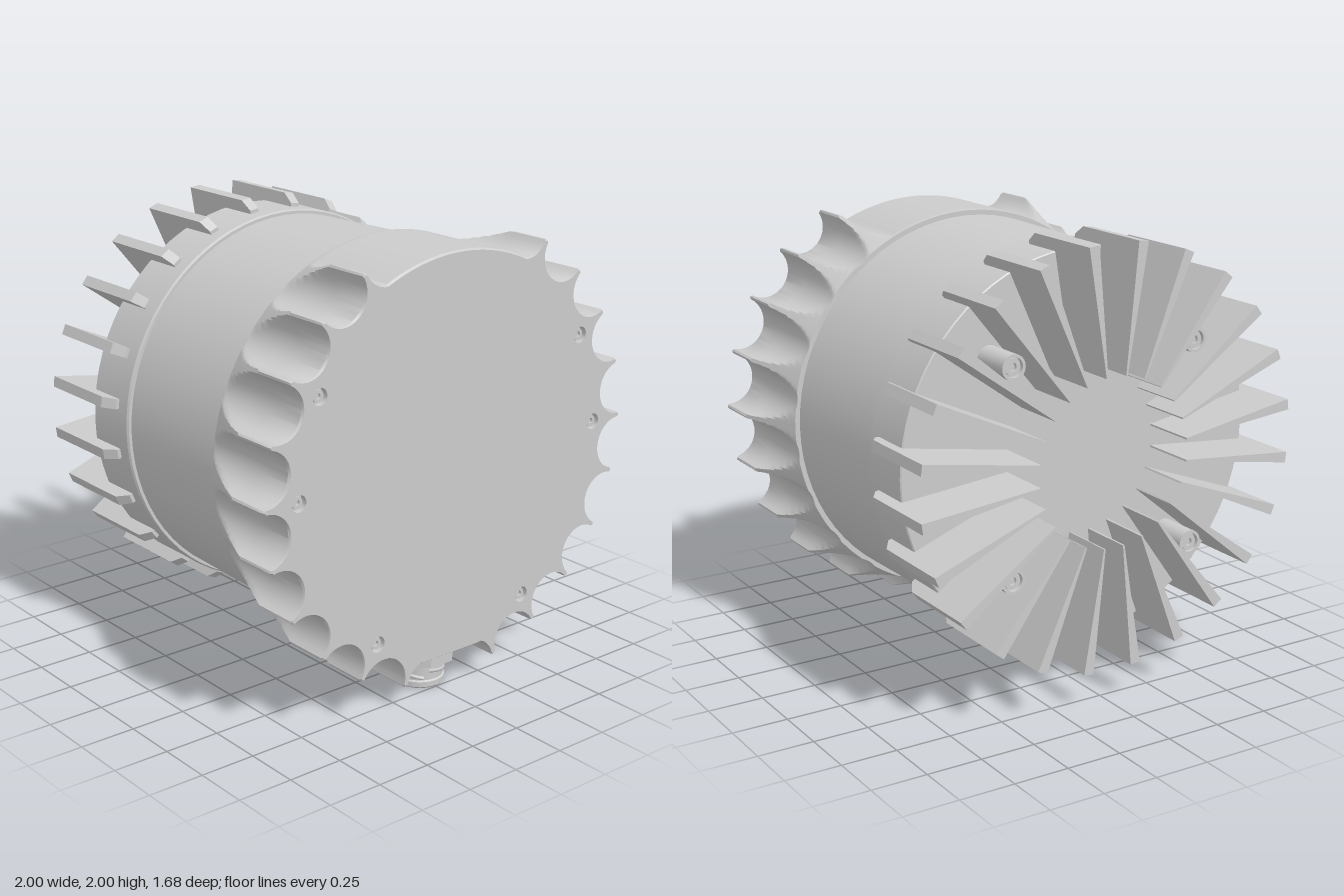
import * as THREE from 'three';
import { toCreasedNormals, mergeVertices } from 'three/addons/utils/BufferGeometryUtils.js';

const AXIS_Y = 1.075;
const RAD = Math.PI / 180;
const mat = new THREE.MeshStandardMaterial({ color: 0xcccccc });

function add(parent, name, geometry, x = 0, y = 0, z = 0) {
  const mesh = new THREE.Mesh(geometry, mat);
  mesh.name = name;
  mesh.position.set(x, y, z);
  parent.add(mesh);
  return mesh;
}

// Turned part with sharp edges; profile is [radius, height] pairs
function turned(profile, segments = 32) {
  const pts = profile.map(([r, h]) => new THREE.Vector2(r, h));
  return toCreasedNormals(new THREE.LatheGeometry(pts, segments), 0.5);
}

// Scalloped outline: [angle, radius] samples, ordered counter-clockwise
const VALLEY = 0.88, BITE = 0.122, TIP = 1.0;
function scallopOutline() {
  const c = VALLEY + BITE, half = Math.asin(BITE / c), out = [];
  const n = 8;
  for (let k = 0; k < 24; k++) {
    const mid = (k + 0.5) * 15;
    for (let i = -n; i <= n; i++) {
      const d = half * Math.sin((i / n) * Math.PI / 2);
      const root = Math.sqrt(Math.max(0, BITE * BITE - (c * Math.sin(d)) ** 2));
      let r = c * Math.cos(d) - root;
      const a = mid * RAD + d;
      const deg = a / RAD;
      // Smooth crown on top, flat connector seat underneath
      if (deg > 67.5 && deg < 112.5) r = 0.89;
      else if (deg > 60 && deg < 120) r = Math.max(r, 0.89);
      const fromBottom = Math.abs(deg - 270);
      if (fromBottom < 7.5) r = 0.885 / Math.cos(fromBottom * RAD);
      else if (fromBottom < 15) r = Math.max(r, Math.min(0.9, 0.885 / Math.cos(fromBottom * RAD)));
      out.push([a, r]);
    }
    // Narrow land at the tip between two bites
    const tipDeg = (k + 1) * 15;
    const plain = (tipDeg > 60 && tipDeg < 120) || tipDeg === 270;
    out.push([tipDeg * RAD, plain ? (tipDeg === 270 ? 0.885 : 0.89) : TIP]);
  }
  return out;
}

// Cap wall: the outline is cut from a cylinder that tapers to the rear
function capWall(outline) {
  const rings = [{ z: 0.35, limit: 0.84 }];
  for (let i = 0; i <= 20; i++) {
    const t = i / 20;
    rings.push({ z: 0.35 + 0.29 * t, limit: 0.887 + (TIP - 0.887) * t });
  }
  rings.push({ z: 0.83, limit: TIP }, { z: 0.84, limit: TIP, inset: 0.007 });
  const pos = [], idx = [], n = outline.length;
  rings.forEach(({ z, limit, inset = 0 }, i) => {
    outline.forEach(([a, s], j) => {
      const r = Math.min(s, limit) - inset;
      pos.push(r * Math.cos(a), r * Math.sin(a), z);
      if (i === 0) return;
      const k = (j + 1) % n, lo = (i - 1) * n, hi = i * n;
      idx.push(lo + j, lo + k, hi + k, lo + j, hi + k, hi + j);
    });
  });
  const g = new THREE.BufferGeometry();
  g.setAttribute('position', new THREE.Float32BufferAttribute(pos, 3));
  g.setIndex(idx);
  return toCreasedNormals(mergeVertices(g), 0.6);
}

// Radial cooling fin, thin at the hub and thick at the rim
function finGeometry() {
  const shape = new THREE.Shape([
    [0.37, -0.84], [0.925, -0.84], [0.925, -0.44], [0.885, -0.385],
    [0.85, -0.385], [0.85, -0.57], [0.37, -0.57],
  ].map(([r, z]) => new THREE.Vector2(r, z)));
  const g = new THREE.ExtrudeGeometry(shape, { depth: 1, bevelEnabled: false });
  g.translate(0, 0, -0.5);
  const p = g.attributes.position;
  for (let i = 0; i < p.count; i++) {
    const t = (p.getX(i) - 0.37) / 0.555;
    p.setZ(i, p.getZ(i) * (0.008 + 0.04 * t));
  }
  g.computeVertexNormals();
  return g;
}

function buildConnector() {
  const g = new THREE.Group();
  g.name = 'connector';
  g.position.z = 0.635;
  add(g, 'connectorSeat', new THREE.CylinderGeometry(0.135, 0.135, 0.05, 32), 0, 0.185, 0);
  const nut = new THREE.CylinderGeometry(0.16, 0.16, 0.06, 8);
  nut.rotateY(Math.PI / 8);
  add(g, 'connectorNut', toCreasedNormals(nut, 0.4), 0, 0.147, 0);
  // Hollow socket with a lip
  add(g, 'connectorSocket', turned([
    [0, 0.04], [0.085, 0.04], [0.085, 0], [0.108, 0], [0.113, 0.006], [0.113, 0.03],
    [0.105, 0.035], [0.105, 0.095], [0.13, 0.1], [0.13, 0.125],
  ], 40));
  // Helical locking ridges
  for (let k = 0; k < 3; k++) {
    const pts = [];
    for (let i = 0; i <= 12; i++) {
      const a = k * 120 * RAD + i * 9 * RAD;
      pts.push(new THREE.Vector3(0.106 * Math.cos(a), 0.045 + 0.035 * i / 12, 0.106 * Math.sin(a)));
    }
    add(g, 'lockingRidge', new THREE.TubeGeometry(new THREE.CatmullRomCurve3(pts), 16, 0.009, 6));
  }
  for (let k = 0; k < 8; k++) {
    const r = k === 7 ? 0 : 0.052, a = k * 2 * Math.PI / 7;
    add(g, 'contactPin', new THREE.CylinderGeometry(0.011, 0.011, 0.03, 10),
      r * Math.cos(a), 0.027, r * Math.sin(a));
  }
  return g;
}

export function createModel() {
  const model = new THREE.Group();
  model.name = 'finnedSensorHousing';

  // Front cap with six screw recesses
  const cap = new THREE.Group();
  cap.name = 'frontCap';
  cap.position.y = AXIS_Y;
  model.add(cap);
  const outline = scallopOutline();
  add(cap, 'scallopedWall', capWall(outline));
  const face = new THREE.Shape(outline.map(([a, s]) =>
    new THREE.Vector2((s - 0.007) * Math.cos(a), (s - 0.007) * Math.sin(a))));
  const recess = turned([
    [0.036, 0], [0.036, -0.03], [0.026, -0.03], [0.026, -0.012],
    [0.012, -0.012], [0.012, -0.025], [0, -0.025],
  ], 24);
  for (const side of [-1, 1]) {
    for (const [x, y] of [[0.72, 0.415], [0.825, 0], [0.415, -0.72]]) {
      const hole = new THREE.Path();
      hole.absarc(side * x, y, 0.036, 0, Math.PI * 2, true);
      face.holes.push(hole);
      add(cap, 'screwRecess', recess, side * x, y, 0.84).rotation.x = Math.PI / 2;
    }
  }
  add(cap, 'frontFace', new THREE.ShapeGeometry(face, 12), 0, 0, 0.84);

  // Barrel and rear heat sink, turned about the front-to-back axis
  const core = new THREE.Group();
  core.name = 'barrelAndHeatSink';
  core.position.y = AXIS_Y;
  core.rotation.x = Math.PI / 2;
  model.add(core);
  add(core, 'barrel', turned([[0.85, -0.32], [0.865, 0.36]], 72));
  add(core, 'rearRing', turned([
    [0, -0.58], [0.865, -0.58], [0.87, -0.575], [0.87, -0.32], [0.864, -0.31], [0.84, -0.31],
  ], 72));

  const fin = finGeometry();
  for (let k = 0; k < 24; k++) {
    add(core, 'coolingFin', fin).rotation.y = (k + 0.5) * 15 * RAD;
  }

  // Screw posts standing between the fins
  const post = turned([
    [0, -0.745], [0.018, -0.745], [0.018, -0.76], [0.036, -0.76], [0.036, -0.75],
    [0.042, -0.75], [0.042, -0.77], [0.055, -0.77], [0.055, -0.57],
  ], 24);
  for (let k = 0; k < 4; k++) {
    const a = (45 + 90 * k) * RAD;
    add(core, 'screwPost', post, 0.64 * Math.cos(a), 0, 0.64 * Math.sin(a));
  }

  model.add(buildConnector());
  return model;
}
